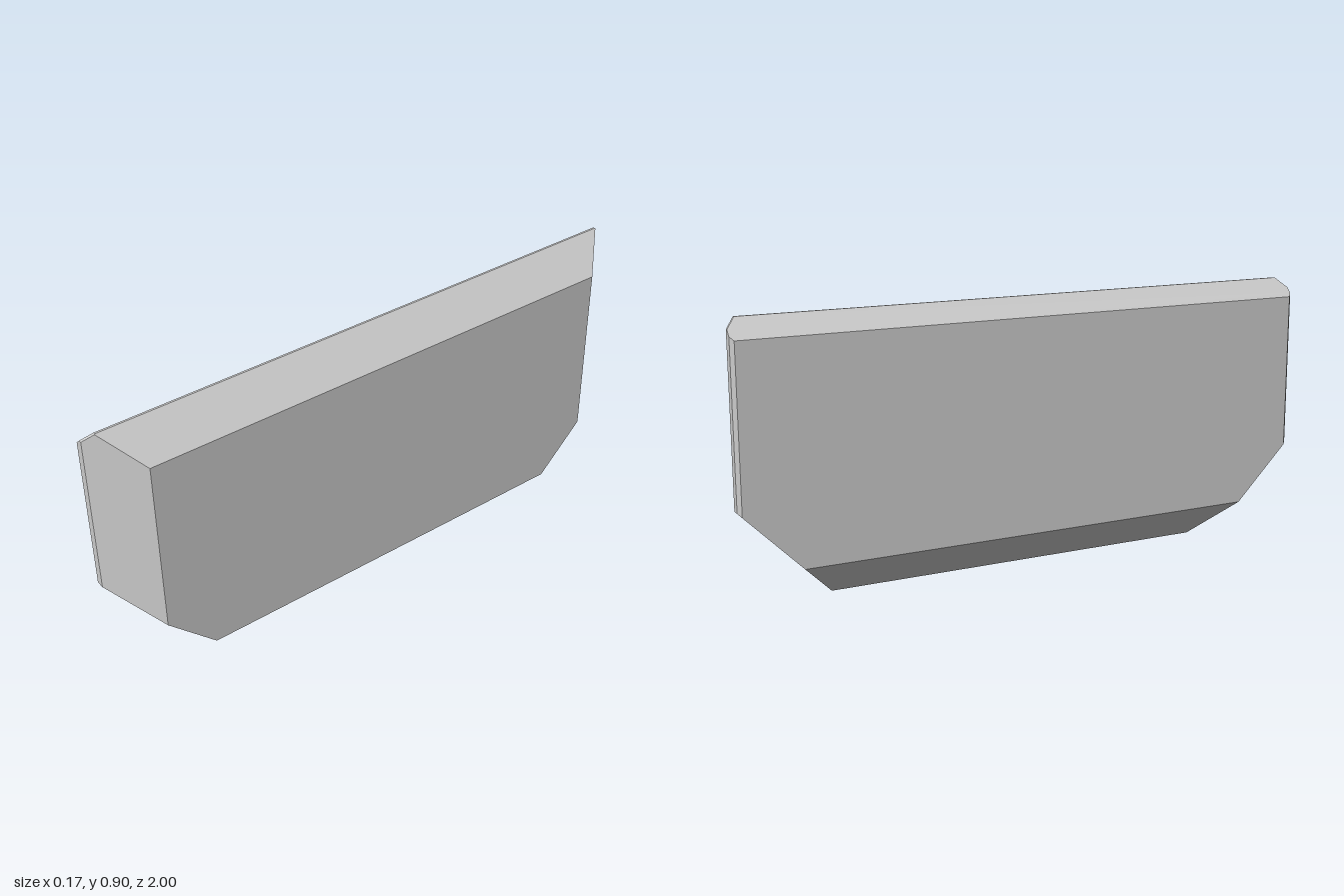
import * as THREE from 'three';
import { ConvexGeometry } from 'three/addons/geometries/ConvexGeometry.js';

// Convex solid from planes [nx, ny, nz, d], keeping n . p <= d
function solidFromPlanes(planes) {
  const inside = (p) => planes.every(([x, y, z, d]) => x * p.x + y * p.y + z * p.z <= d + 1e-6);
  const corners = [];
  for (let i = 0; i < planes.length; i++)
    for (let j = i + 1; j < planes.length; j++)
      for (let k = j + 1; k < planes.length; k++) {
        const [a, b, c] = [planes[i], planes[j], planes[k]];
        const m = new THREE.Matrix3().set(
          a[0], a[1], a[2],
          b[0], b[1], b[2],
          c[0], c[1], c[2]);
        if (Math.abs(m.determinant()) < 1e-6) continue;
        const p = new THREE.Vector3(a[3], b[3], c[3]).applyMatrix3(m.invert());
        if (inside(p) && !corners.some((q) => q.distanceTo(p) < 1e-5)) corners.push(p);
      }
  return new ConvexGeometry(corners);
}

export function createModel() {
  // Long section: broad sides, top, base and the bevels along them
  const planes = [
    [1, 0, 0, 0.087],
    [-1, 0, 0, 0.087],
    [0, 1, 0, 0.905],
    [0, -1, 0, 0],
    [1, 1, 0, 0.886],    // wide top bevel
    [-1, 1, 0, 0.931],   // narrow top bevel
    [-1, -1, 0, -0.042], // wide bottom bevel
    [1, -1, 0, 0.058],   // narrow bottom bevel
  ];
  // Both ends, mirrored in z
  for (const s of [1, -1]) {
    planes.push(
      [0, 0, s, 1],
      [1, 0, s, 0.952],   // wide end bevel
      [-1, 0, s, 1.0755], // narrow end bevel
      [0, 1, s, 1.873],   // small top corner cut
      [0, -1, s, 0.672],  // large bottom corner cut
    );
  }

  const panel = new THREE.Mesh(
    solidFromPlanes(planes),
    new THREE.MeshStandardMaterial({ color: 0xcccccc, flatShading: true }));
  panel.name = 'bevelledPanel';

  const group = new THREE.Group();
  group.name = 'armourPanel';
  group.add(panel);
  return group;
}
